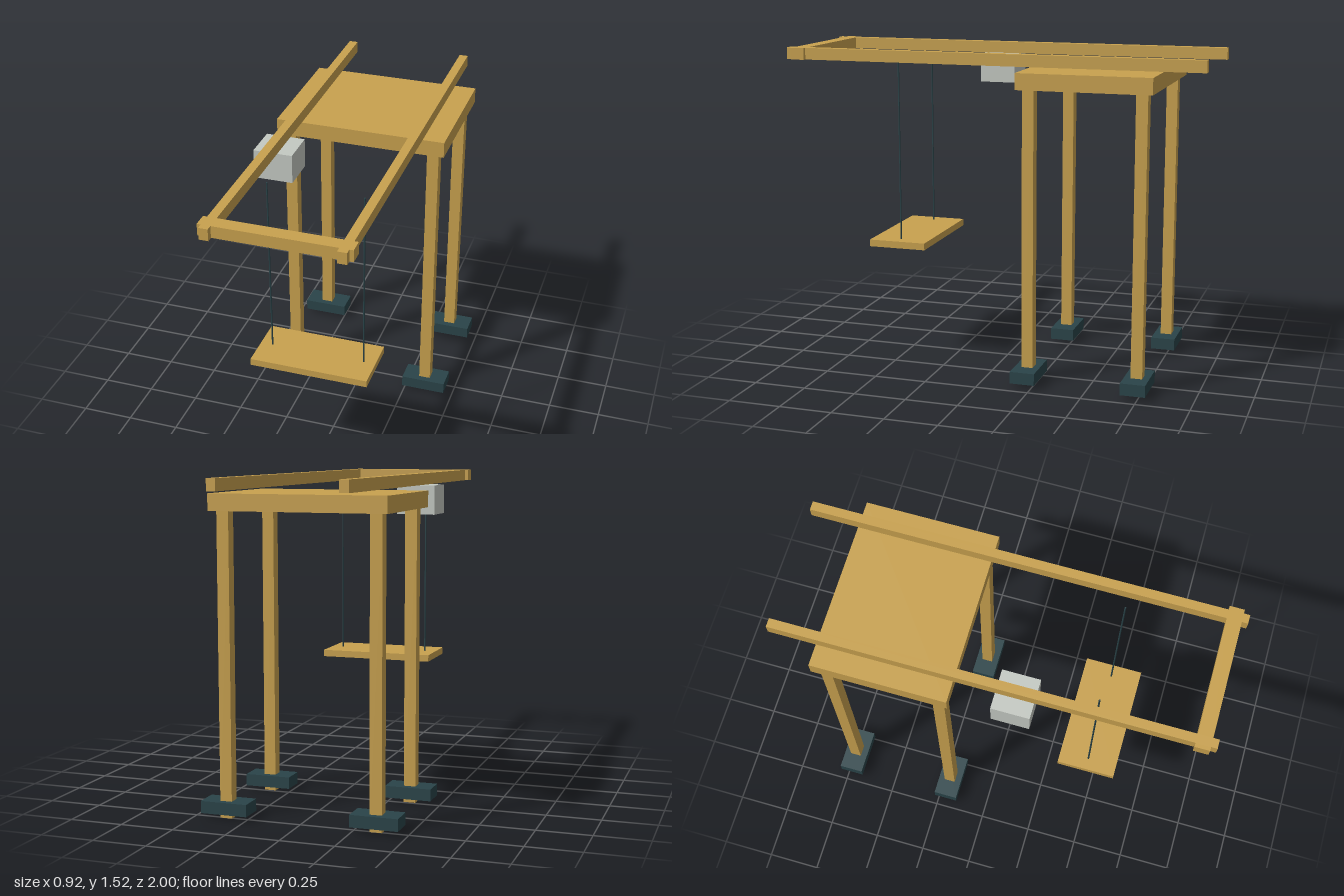
import * as THREE from 'three';

export function createModel() {
  const model = new THREE.Group();
  model.name = 'swingFrame';

  const material = (name, color) => {
    const m = new THREE.MeshStandardMaterial({ color });
    m.name = name;
    return m;
  };
  const wood = material('wood', 0xc8a14e);
  const iron = material('dark iron', 0x2a4449);
  const stone = material('pale grey', 0xc4c9c2);

  // Box given by its low and high limits on each axis
  const addBox = (name, mat, [x0, x1], [y0, y1], [z0, z1]) => {
    const mesh = new THREE.Mesh(new THREE.BoxGeometry(x1 - x0, y1 - y0, z1 - z0), mat);
    mesh.position.set((x0 + x1) / 2, (y0 + y1) / 2, (z0 + z1) / 2);
    mesh.name = name;
    model.add(mesh);
  };
  const around = (centre, half) => [centre - half, centre + half];

  // Platform on four legs, each passing through a foot block
  addBox('platform', wood, [-0.41, 0.41], [1.377, 1.453], [-0.784, -0.16]);
  for (const [side, sx] of [['left', 1], ['right', -1]]) {
    for (const [end, z] of [['Front', -0.212], ['Back', -0.731]]) {
      addBox(`${side}${end}Leg`, wood, around(sx * 0.352, 0.028), [0, 1.377], around(z, 0.027));
      addBox(`${side}${end}Foot`, iron, around(sx * 0.352, 0.11), [0.022, 0.078], around(z, 0.058));
    }

    // Long overhead beam and the rope that hangs level with it
    addBox(`${side}Beam`, wood, around(sx * 0.294, 0.021), [1.47, 1.525], [-1, 1]);
    const rope = new THREE.Mesh(new THREE.CylinderGeometry(0.004, 0.004, 0.872, 8), iron);
    rope.position.set(sx * 0.223, 1.034, 0.47);
    rope.name = `${side}Rope`;
    model.add(rope);
  }

  // Crossbar joining the front ends of the beams
  addBox('crossbar', wood, [-0.333, 0.333], [1.47, 1.525], [0.905, 0.972]);

  // Swing seat
  addBox('seat', wood, [-0.28, 0.28], [0.575, 0.608], [0.33, 0.61]);

  // Block hung under the right beam
  addBox('hangingBlock', stone, [-0.388, -0.203], [1.332, 1.47], [0.03, 0.205]);

  return model;
}
